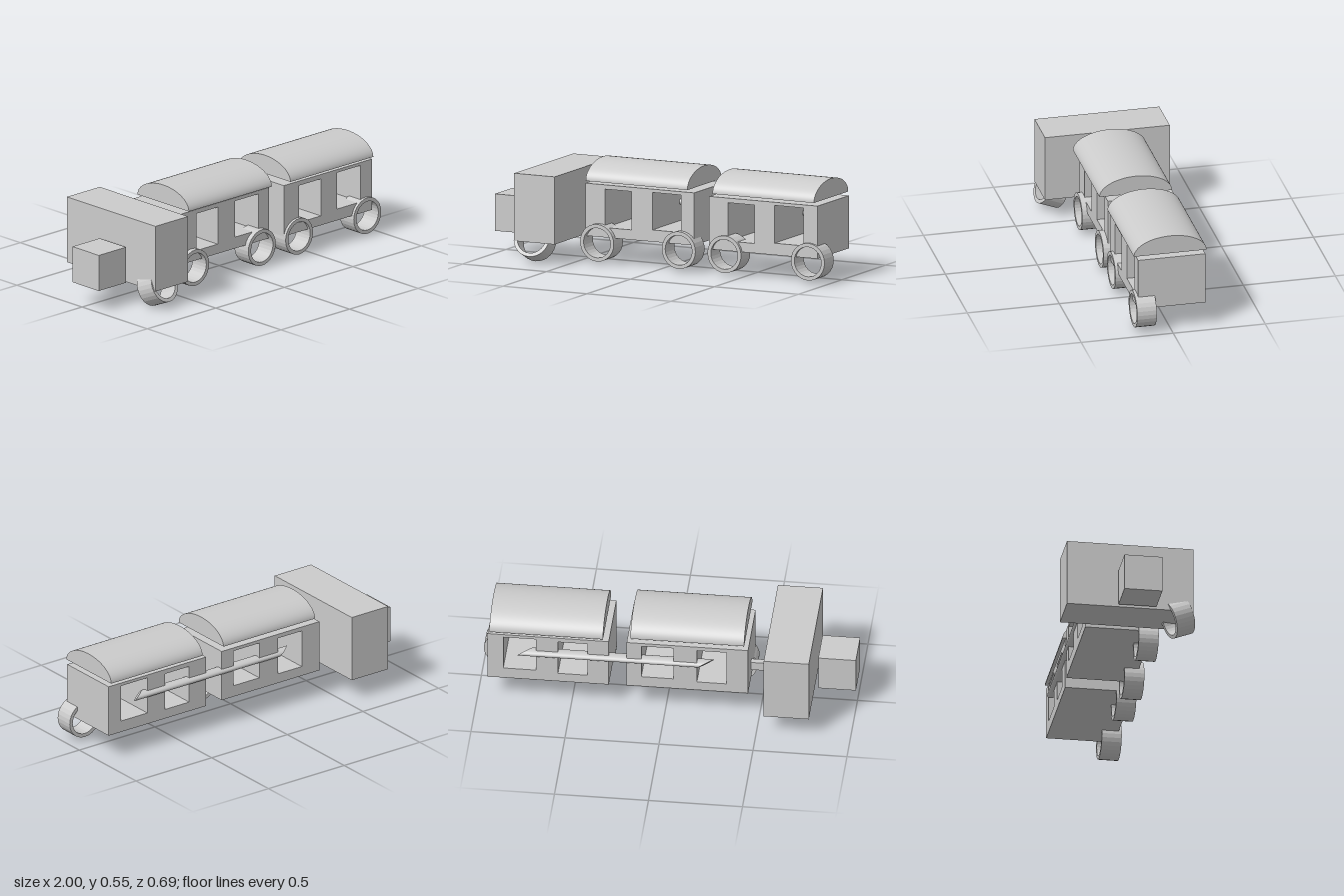
import * as THREE from 'three';

const grey = new THREE.MeshStandardMaterial({ color: 0xcccccc });
const faceted = new THREE.MeshStandardMaterial({ color: 0xcccccc, flatShading: true });

function add(parent, name, geometry, material = grey) {
  const mesh = new THREE.Mesh(geometry, material);
  mesh.name = name;
  parent.add(mesh);
  return mesh;
}

// Box given by its lower and upper corners
function box(parent, name, [x0, y0, z0], [x1, y1, z1]) {
  const mesh = add(parent, name, new THREE.BoxGeometry(x1 - x0, y1 - y0, z1 - z0));
  mesh.position.set((x0 + x1) / 2, (y0 + y1) / 2, (z0 + z1) / 2);
}

function trace(path, x0, y0, x1, y1) {
  path.moveTo(x0, y0);
  path.lineTo(x1, y0);
  path.lineTo(x1, y1);
  path.lineTo(x0, y1);
  path.closePath();
  return path;
}

// Carriage body with window openings running right through
function carriageBody(parent, c) {
  const shape = trace(new THREE.Shape(), ...c.body);
  for (const w of c.windows) shape.holes.push(trace(new THREE.Path(), ...w));
  const geometry = new THREE.ExtrudeGeometry(shape, { depth: c.z[1] - c.z[0], bevelEnabled: false });
  add(parent, 'carriageBody', geometry).position.z = c.z[0];
}

// Half-elliptical solid roof lying along x
function roof(parent, [x0, x1, y, z]) {
  const group = new THREE.Group();
  group.name = 'roof';
  group.position.set((x0 + x1) / 2, y, z);
  const vault = new THREE.CylinderGeometry(1, 1, x1 - x0, 48, 1, false, 0, Math.PI);
  vault.rotateZ(Math.PI / 2).scale(1, 0.101, 0.197);
  add(group, 'roofVault', vault);
  add(group, 'roofUnderside', new THREE.PlaneGeometry(x1 - x0, 0.394).rotateX(Math.PI / 2));
  parent.add(group);
}

// Hollow ring wheel with its axis along z
function wheel(parent, x, y, z) {
  const h = 0.053;
  const profile = [[0.08, -h], [0.1, -h], [0.1, h], [0.08, h], [0.08, -h]]
    .map(([r, t]) => new THREE.Vector2(r, t));
  const mesh = add(parent, 'wheel', new THREE.LatheGeometry(profile, 28).rotateX(Math.PI / 2), faceted);
  mesh.position.set(x, y, z);
  return mesh;
}

export function createModel() {
  const model = new THREE.Group();
  model.name = 'train';

  // Engine blocks and coupling
  box(model, 'nose', [-1, 0.12, -0.075], [-0.8, 0.318, 0.128]);
  box(model, 'engineBlock', [-0.78, 0.115, -0.348], [-0.54, 0.478, 0.33]);
  box(model, 'coupling', [-0.54, 0.203, -0.064], [-0.435, 0.251, -0.03]);

  // Carriages with roofs and near-side wheels
  const carriages = [
    {
      body: [-0.44, 0.145, 0.206, 0.427], z: [-0.196, 0.166],
      windows: [[-0.324, 0.198, -0.168, 0.404], [-0.043, 0.208, 0.128, 0.409]],
      roof: [-0.418, 0.187, 0.447, 0.01], wheels: [-0.358, 0.128],
    },
    {
      body: [0.302, 0.135, 0.946, 0.418], z: [-0.187, 0.178],
      windows: [[0.414, 0.187, 0.572, 0.393], [0.69, 0.198, 0.863, 0.401]],
      roof: [0.332, 0.936, 0.437, 0.001], wheels: [0.4, 0.897],
    },
  ];
  for (const c of carriages) {
    const carriage = new THREE.Group();
    carriage.name = 'carriage';
    carriageBody(carriage, c);
    roof(carriage, c.roof);
    for (const x of c.wheels) wheel(carriage, x, 0.117, 0.141);
    model.add(carriage);
  }

  // Engine wheel, leaning outwards
  const axis = new THREE.Vector3(0.11, 0.39, 0.92).normalize();
  wheel(model, -0.695, 0.112, 0.257).quaternion
    .setFromUnitVectors(new THREE.Vector3(0, 0, 1), axis);

  // Side rod: oval bar with slanted ends
  const rod = new THREE.CylinderGeometry(1, 1, 0.963, 32).rotateZ(Math.PI / 2);
  const shear = new THREE.Matrix4().set(
    1, -0.022, -0.033, 0,
    0, 0.0185, 0, 0,
    0, 0, 0.032, 0,
    0, 0, 0, 1);
  rod.applyMatrix4(shear);
  add(model, 'sideRod', rod).position.set(0.265, 0.309, -0.176);

  return model;
}
